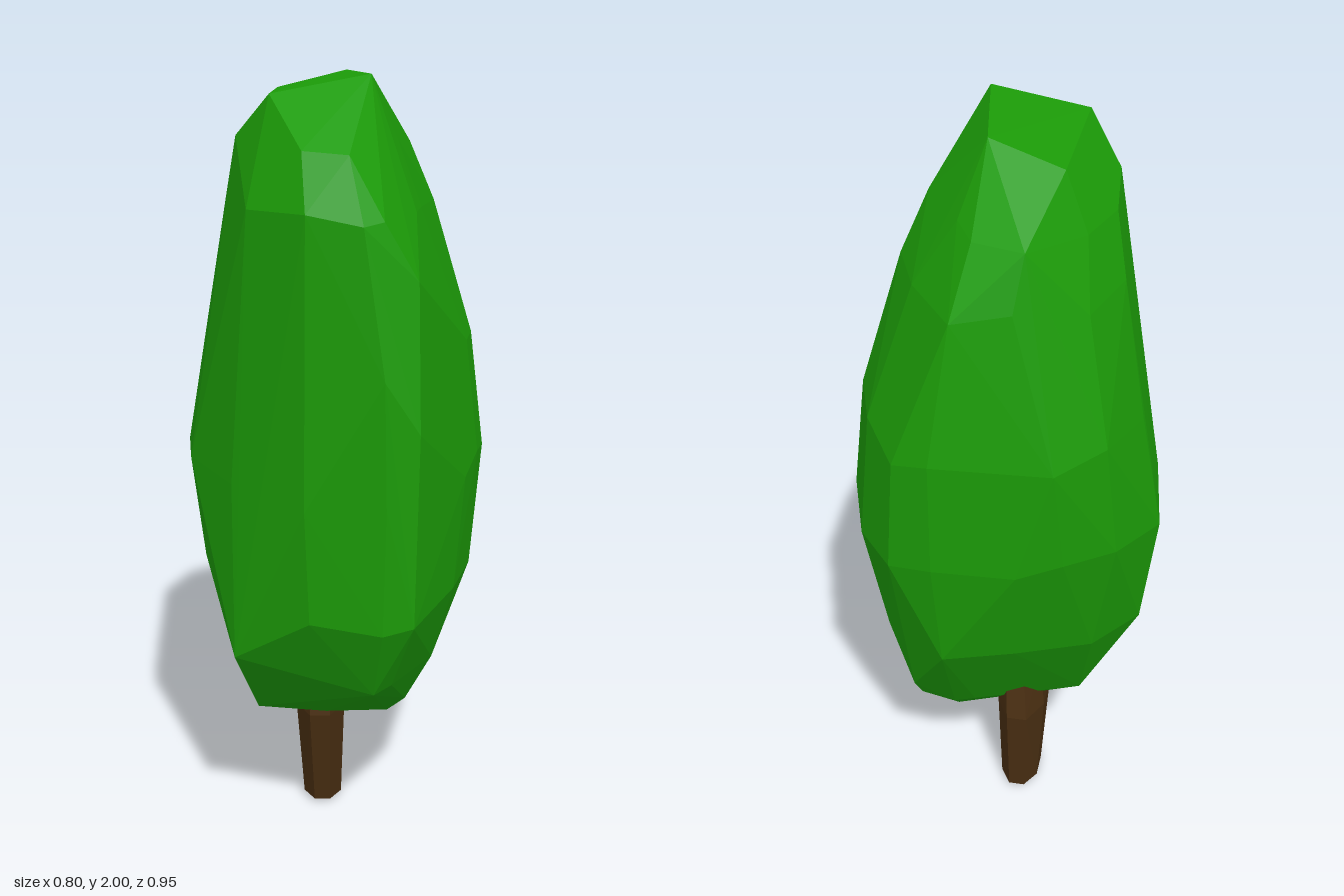
import * as THREE from 'three';
import { ConvexGeometry } from 'three/addons/geometries/ConvexGeometry.js';

// Lopsided crown outline seen from above, as [x, z]
const outline = [
  [0.4, -0.12], [0.375, 0.03], [0.335, 0.175], [0.2, 0.44], [0.13, 0.475],
  [-0.065, 0.44], [-0.25, 0.275], [-0.37, 0.08], [-0.4, -0.17], [-0.31, -0.33],
  [-0.19, -0.4], [-0.08, -0.44], [0.12, -0.475], [0.23, -0.455], [0.33, -0.33],
];
const extremes = [0, 4, 8, 12];
const corners = [3, 6, 9, 14];

function createCrown() {
  // y, xMin, xMax, zMin, zMax, fullness of the back right and back left corners
  const levels = [
    [0.36, -0.2, 0.23, -0.18, 0.14, 0.7, 1],
    [0.49, -0.24, 0.28, -0.26, 0.345, 0.8, 1],
    [0.69, -0.36, 0.37, -0.4, 0.44, 0.9, 0.95],
    [1.02, -0.4, 0.4, -0.46, 0.46, 1, 1],
    [1.33, -0.345, 0.362, -0.475, 0.475, 1.06, 0.98],
    [1.68, -0.285, 0.255, -0.432, 0.46, 1, 0.9],
    [1.83, -0.255, 0.19, -0.33, 0.38, 1, 0.83],
  ];
  const { mapLinear } = THREE.MathUtils;
  const points = [];
  levels.forEach(([y, x0, x1, z0, z1, backRight, backLeft], r) => {
    outline.forEach(([x, z], i) => {
      const extreme = extremes.includes(i);
      // thin out the rings in a staggered pattern for irregular facets
      if (!extreme && !corners.includes(i) && (i + r) % 3 === 0) return;
      const lift = extreme ? 0 : 0.025 * Math.sin(i * 2.3 + r * 1.7);
      const fullness = extreme || z > 0 ? 1 : x < 0 ? backRight : backLeft;
      points.push(new THREE.Vector3(
        mapLinear(x, -0.4, 0.4, x0, x1) * fullness,
        y + lift,
        mapLinear(z, -0.475, 0.475, z0, z1) * fullness));
    });
  });
  points.push(...[
    // sloping top with a ridge running front to back
    [0.09, 2, 0.175], [0.03, 2, -0.16], [-0.15, 1.955, 0.185], [-0.15, 1.955, -0.2],
    // shoulders
    [0.197, 1.69, 0.26], [0.2, 1.55, 0.41], [-0.2, 1.7, 0.3], [-0.09, 1.83, -0.365],
    // front left edge
    [0.2, 0.71, 0.435], [0.207, 1.2, 0.45],
    // jutting lower corners and the low tip
    [-0.25, 0.56, 0.275], [-0.2, 0.36, 0.145], [0.23, 0.36, -0.18], [0.24, 0.43, -0.225],
    [0.15, 0.24, -0.08],
  ].map(p => new THREE.Vector3(...p)));
  return new ConvexGeometry(points);
}

function createTrunk() {
  // y, centre x, centre z, half width, half depth
  const levels = [
    [0.01, -0.033, -0.065, 0.052, 0.085],
    [0.3, -0.038, -0.05, 0.066, 0.13],
    [0.45, -0.03, -0.045, 0.06, 0.11],
  ];
  const points = [new THREE.Vector3(-0.02, 0, 0)];
  const k = 1 / Math.cos(Math.PI / 8);
  for (const [y, cx, cz, w, d] of levels) {
    for (let i = 0; i < 8; i++) {
      const a = ((i + 0.5) / 8) * Math.PI * 2;
      points.push(new THREE.Vector3(cx + Math.cos(a) * w * k, y, cz + Math.sin(a) * d * k));
    }
  }
  return new ConvexGeometry(points);
}

export function createModel() {
  const model = new THREE.Group();
  model.name = 'tree';
  const add = (name, geometry, color) => {
    const mesh = new THREE.Mesh(geometry,
      new THREE.MeshStandardMaterial({ color, flatShading: true }));
    mesh.name = name;
    model.add(mesh);
  };
  add('crown', createCrown(), 0x1c9c08);
  add('trunk', createTrunk(), 0x4a2f12);
  return model;
}
